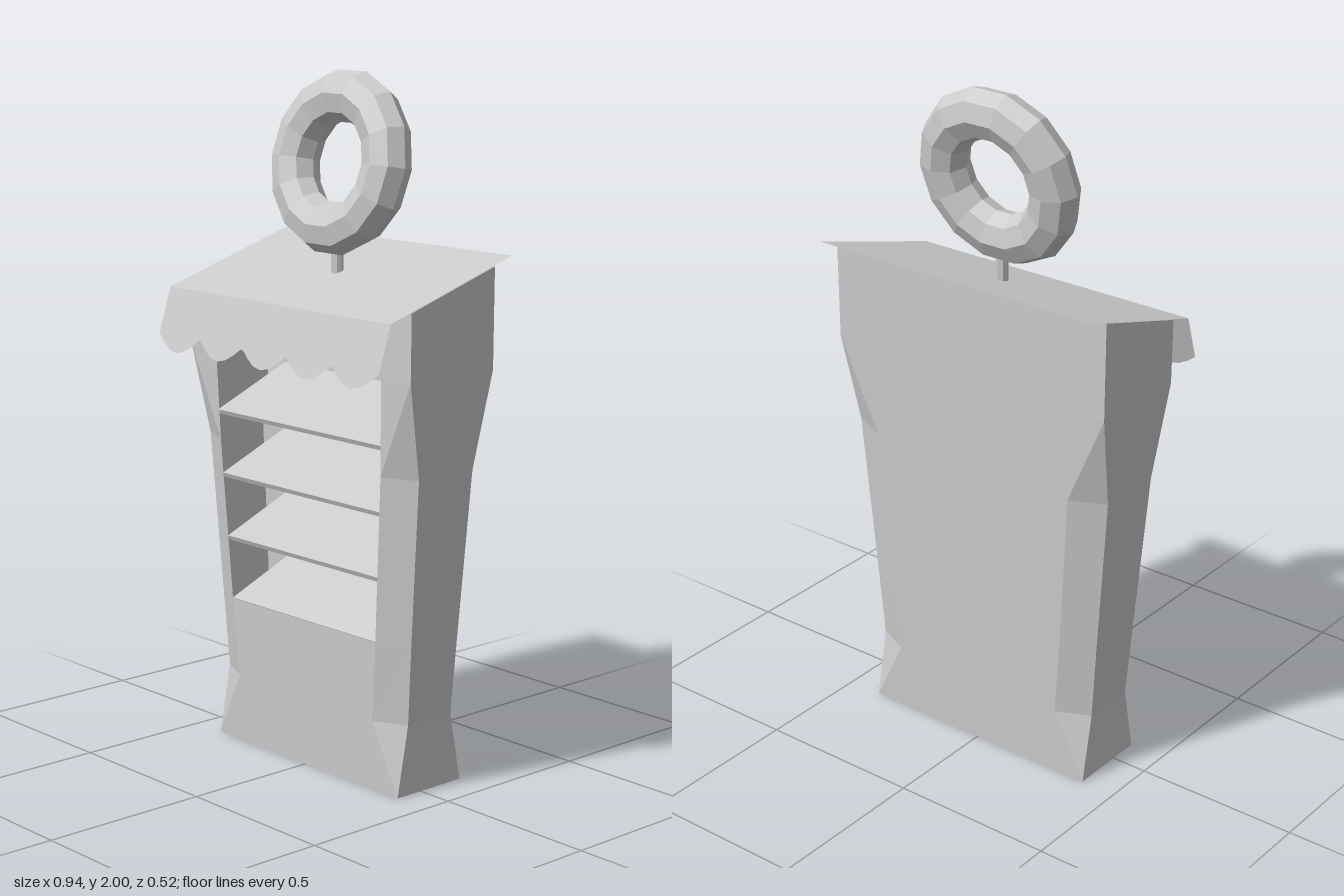
import * as THREE from 'three';

const grey = new THREE.MeshStandardMaterial({ color: 0xcccccc, flatShading: true, side: THREE.DoubleSide });

// height of the sloping roof at depth z
const roofY = (z) => 1.428 - 0.309 * z;

function add(group, name, geometry) {
  const mesh = new THREE.Mesh(geometry, grey);
  mesh.name = name;
  group.add(mesh);
  return mesh;
}

// geometry from a list of triangles, each three [x, y, z] corners
function fromTriangles(triangles) {
  const g = new THREE.BufferGeometry();
  g.setAttribute('position', new THREE.Float32BufferAttribute(triangles.flat(2), 3));
  g.computeVertexNormals();
  return g;
}

// eight-sided section: half width, front z, back z, corner cut in x and in z
function ring({ y, hx, zf, zb, cx = 0, cz = 0 }) {
  const half = [[hx - cx, zf], [hx, zf - cz], [hx, zb + cz], [hx - cx, zb]];
  const all = [...half, ...half.map(([x, z]) => [-x, z]).reverse()];
  return all.map(([x, z]) => [x, y ?? roofY(z), z]);
}

// open shell whose corners are square at the ends and chamfered between
function bodyGeometry() {
  const rings = [
    { y: 0, hx: 0.39, zf: 0.09, zb: -0.155 },
    { y: 0.205, hx: 0.39, zf: 0.096, zb: -0.16, cx: 0.1, cz: 0.045 },
    { y: 0.44, hx: 0.408, zf: 0.103, zb: -0.167, cx: 0.098, cz: 0.045 },
    { y: 0.92, hx: 0.447, zf: 0.117, zb: -0.181, cx: 0.104, cz: 0.046 },
    { y: 1.2, hx: 0.468, zf: 0.125, zb: -0.19 },
    { hx: 0.47, zf: 0.125, zb: -0.19 },
  ].map(ring);
  const triangles = [];
  const same = (p, q) => p.every((v, k) => v === q[k]);
  const tri = (a, b, c) => {
    if (!same(a, b) && !same(b, c) && !same(a, c)) triangles.push([a, b, c]);
  };
  for (let r = 0; r < rings.length - 1; r++) {
    for (let i = 0; i < 8; i++) {
      if (i === 7 && (r === 2 || r === 3)) continue; // front opening
      const j = (i + 1) % 8;
      const [a, b, c, d] = [rings[r][i], rings[r][j], rings[r + 1][j], rings[r + 1][i]];
      tri(a, b, c);
      tri(a, c, d);
    }
  }
  // front slivers beside the upper part of the opening
  tri(rings[3][0], rings[4][0], [0.352, 1.2, 0.125]);
  tri(rings[3][7], [-0.352, 1.2, 0.125], rings[4][7]);
  return fromTriangles(triangles);
}

// scalloped valance, drawn flat with its top edge at y = 0
function valanceGeometry() {
  const half = 0.468, scallops = 5, width = (2 * half) / scallops;
  const s = new THREE.Shape();
  s.moveTo(half, 0);
  s.lineTo(-half, 0);
  for (let i = 0; i < scallops; i++) {
    for (let k = 0; k <= 6; k++) {
      const t = k / 6;
      s.lineTo(-half + (i + t) * width, -0.138 - 0.05 * Math.sin(Math.PI * t));
    }
  }
  return new THREE.ShapeGeometry(s);
}

export function createModel() {
  const model = new THREE.Group();
  model.name = 'displayStand';

  add(model, 'body', bodyGeometry());

  // tilted shelves, rising towards the back
  const shelves = new THREE.Group();
  shelves.name = 'shelves';
  model.add(shelves);
  const depth = 0.26, rise = 0.11;
  for (let i = 0; i < 4; i++) {
    const y = 0.435 + 0.189 * i;
    const front = 0.09 + 0.029 * y;
    const width = 2 * (0.31 + 0.072 * (y - 0.44));
    const shelf = add(shelves, 'shelf', new THREE.BoxGeometry(width, 0.015, Math.hypot(depth, rise)));
    shelf.position.set(0, y + rise / 2, front - depth / 2 - 0.002);
    shelf.rotation.x = Math.atan2(rise, depth);
  }

  // thin sloping roof
  const [zf, zb, w] = [0.2, -0.26, 0.468];
  const [a, b, c, d] = [[-w, zf], [w, zf], [w, zb], [-w, zb]].map(([x, z]) => [x, roofY(z) + 0.002, z]);
  add(model, 'roof', fromTriangles([[a, b, c], [a, c, d]]));

  // valance hanging from the front of the roof
  const valance = add(model, 'valance', valanceGeometry());
  valance.position.set(0, roofY(zf) + 0.002, zf);
  valance.rotation.x = -0.31;

  // ring sign on a short post
  const post = add(model, 'post', new THREE.CylinderGeometry(0.018, 0.018, 0.12, 8));
  post.position.set(0, 1.48, -0.033);
  const sign = add(model, 'ringSign', new THREE.TorusGeometry(0.19, 0.075, 8, 14));
  sign.scale.z = 0.87;
  sign.position.set(0, 1.748, -0.045);
  sign.rotation.x = -0.175;

  return model;
}
